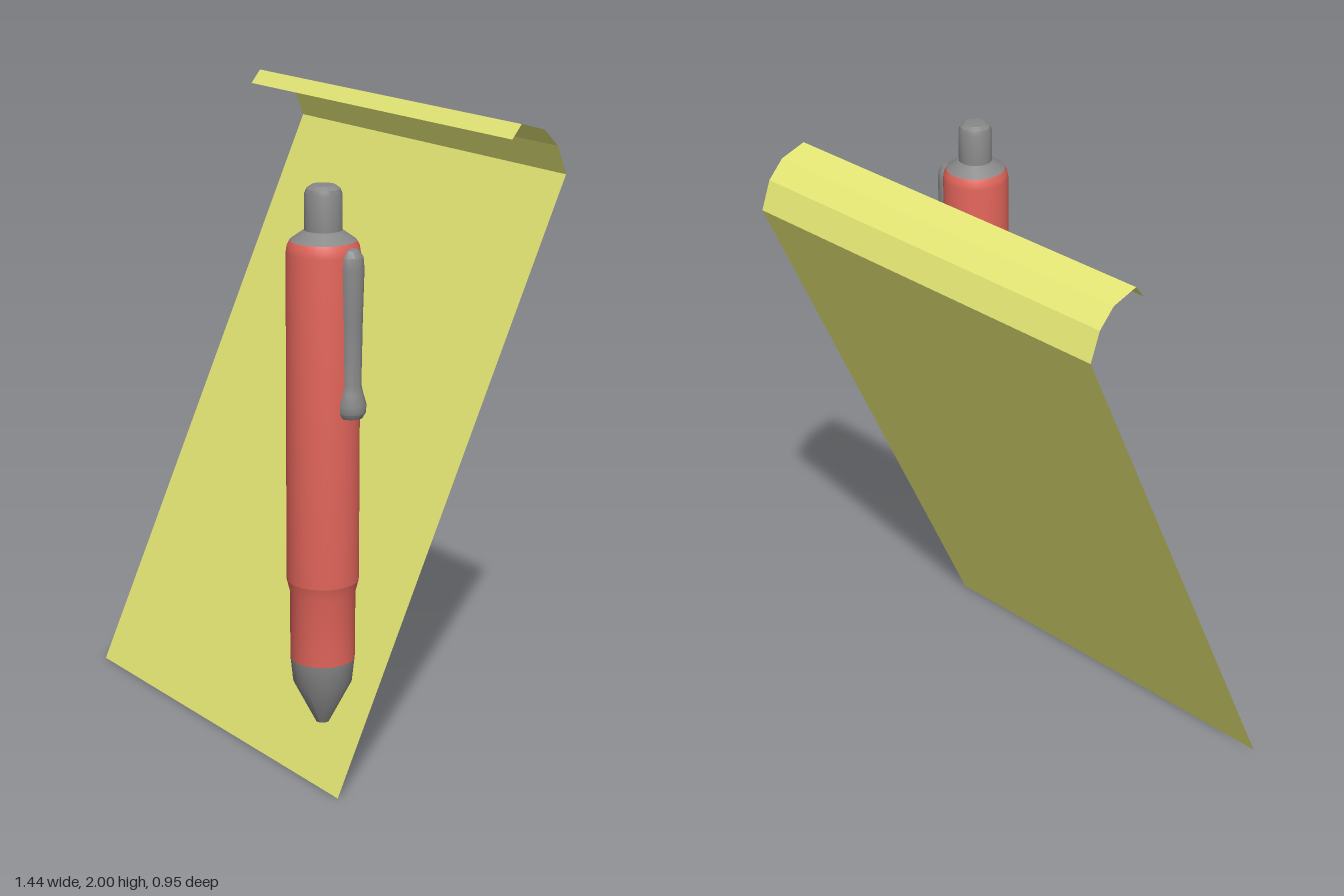
import * as THREE from 'three';
import { toCreasedNormals } from 'three/addons/utils/BufferGeometryUtils.js';

const material = (color) => new THREE.MeshStandardMaterial({ color, side: THREE.DoubleSide });
const yellow = material(0xe6e876);
const red = material(0xe0645a);
const grey = material(0x888888);

// Turned part from [radius, height] pairs, bottom to top
function turned(name, profile, mat, segments = 32) {
  const points = profile.map(([r, y]) => new THREE.Vector2(r, y));
  const geometry = toCreasedNormals(new THREE.LatheGeometry(points, segments), 0.5);
  const mesh = new THREE.Mesh(geometry, mat);
  mesh.name = name;
  return mesh;
}

// Thin sheet: a [z, y] profile swept along x, with flat facets
function sheet(name, profile, x0, x1, mat) {
  const positions = [];
  for (let i = 0; i < profile.length - 1; i++) {
    const [za, ya] = profile[i];
    const [zb, yb] = profile[i + 1];
    positions.push(x0, ya, za, x1, ya, za, x1, yb, zb);
    positions.push(x0, ya, za, x1, yb, zb, x0, yb, zb);
  }
  const geometry = new THREE.BufferGeometry();
  geometry.setAttribute('position', new THREE.Float32BufferAttribute(positions, 3));
  geometry.computeVertexNormals();
  const mesh = new THREE.Mesh(geometry, mat);
  mesh.name = name;
  return mesh;
}

export function createModel() {
  const model = new THREE.Group();
  model.name = 'notepadAndPen';

  // Leaning page whose top edge curls forward
  const page = new THREE.Group();
  page.name = 'notepad';
  page.add(
    sheet('page', [[0.365, 0], [-0.48, 1.83]], -0.725, 0.655, yellow),
    sheet('curledTop', [[-0.48, 1.83], [-0.445, 1.92], [-0.39, 1.975], [-0.3, 2], [-0.265, 1.957]], -0.725, 0.655, yellow),
  );
  model.add(page);

  // Upright pen
  const pen = new THREE.Group();
  pen.name = 'pen';
  pen.position.set(0.575, 0, 0.365);
  pen.add(
    turned('tip', [[0, 0.23], [0.02, 0.23], [0.089, 0.365], [0.097, 0.44]], grey),
    turned('grip', [[0.097, 0.44], [0.098, 0.65], [0.108, 0.69]], red),
    turned('barrel', [[0.108, 0.69], [0.108, 1.685], [0.105, 1.705], [0.097, 1.72]], red),
    turned('collar', [[0.097, 1.72], [0.055, 1.75]], grey),
    turned('button', [[0.055, 1.745], [0.055, 1.855], [0.049, 1.87], [0.035, 1.88], [0, 1.882]], grey),
  );

  // Slim clip with a rounded head and a bulb at its lower end
  const clip = turned('clip', [
    [0, 1.208], [0.036, 1.21], [0.045, 1.225], [0.046, 1.25], [0.036, 1.285], [0.031, 1.31],
    [0.034, 1.5], [0.038, 1.65], [0.035, 1.685], [0.022, 1.705], [0, 1.71],
  ], grey, 20);
  clip.position.set(0.098, 0, -0.028);
  pen.add(clip);
  model.add(pen);

  return model;
}
